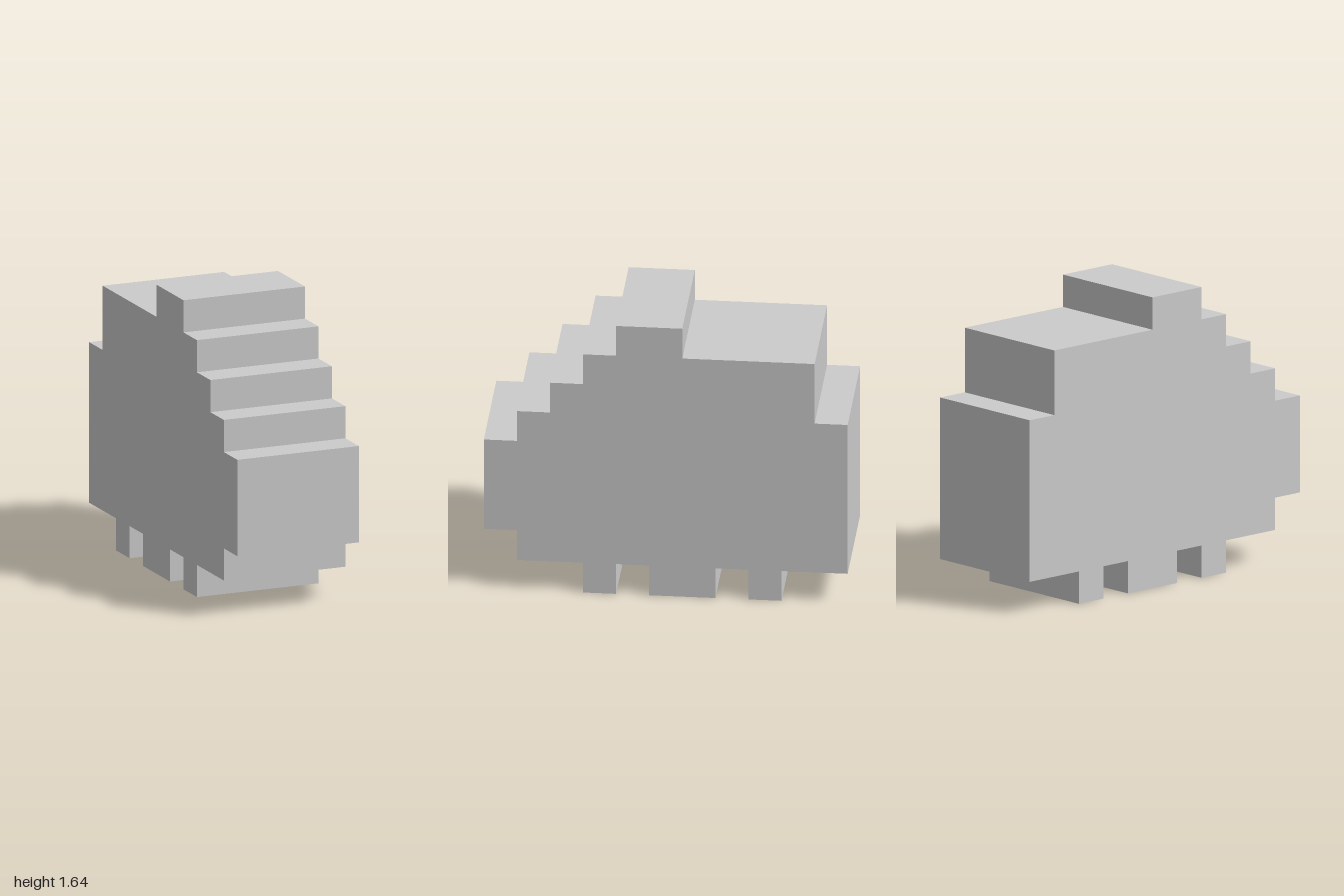
import * as THREE from 'three';

const CELL = 2 / 11; // the model is a grid of cells: 11 long, 9 high, 4 wide
const WIDTH = 4 * CELL;

// Side outline as [cells back from the front, cells up]
const OUTLINE = [
  // stepped face and crest
  [0, 2], [0, 5], [1, 5], [1, 6], [2, 6], [2, 7], [3, 7], [3, 8], [4, 8], [4, 9],
  // back
  [6, 9], [6, 8], [10, 8], [10, 6], [11, 6], [11, 1],
  // rear, middle and front feet
  [9, 1], [9, 0], [8, 0], [8, 1],
  [7, 1], [7, 0], [5, 0], [5, 1],
  [4, 1], [4, 0], [3, 0], [3, 1],
  // chin
  [1, 1], [1, 2],
];

export function createModel() {
  const group = new THREE.Group();
  group.name = 'blockCreature';

  const shape = new THREE.Shape(
    OUTLINE.map(([back, up]) => new THREE.Vector2(1 - back * CELL, up * CELL))
  );
  const geometry = new THREE.ExtrudeGeometry(shape, { depth: WIDTH, bevelEnabled: false });
  // Centre the thickness, then turn the outline so its front faces +z
  geometry.translate(0, 0, -WIDTH / 2).rotateY(-Math.PI / 2);

  const material = new THREE.MeshStandardMaterial({ color: 0xcccccc, flatShading: true });
  const body = new THREE.Mesh(geometry, material);
  body.name = 'bodyWithFeet';
  group.add(body);
  return group;
}
